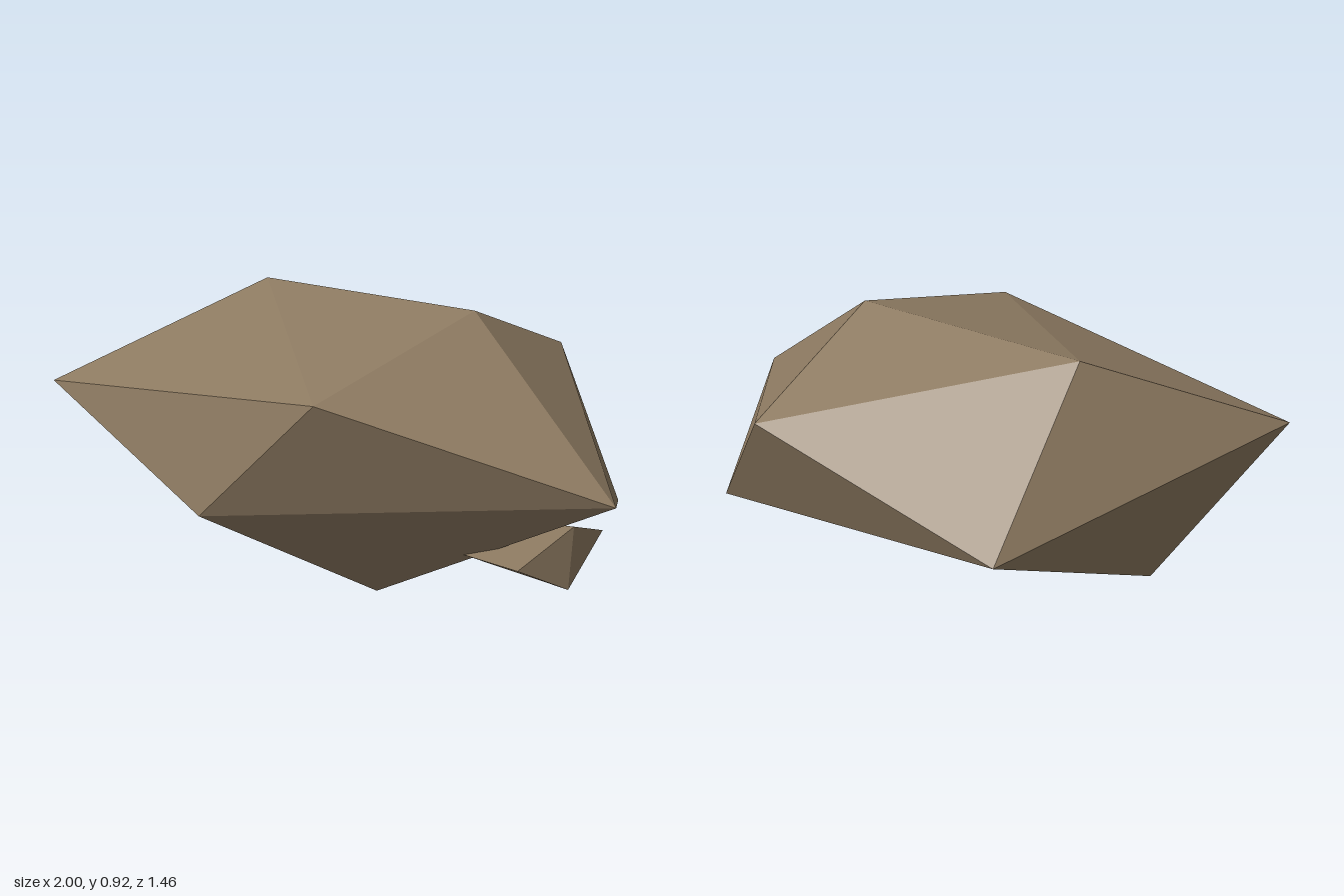
import * as THREE from 'three';
import { ConvexGeometry } from 'three/addons/geometries/ConvexGeometry.js';

// A faceted stone: the convex skin around a few corner points
function stone(name, corners, material) {
  const points = corners.map(([x, y, z]) => new THREE.Vector3(x, y, z));
  const mesh = new THREE.Mesh(new ConvexGeometry(points), material);
  mesh.name = name;
  return mesh;
}

export function createModel() {
  const group = new THREE.Group();
  group.name = 'rock';

  const stoneBrown = new THREE.MeshStandardMaterial({ color: 0x8d7a61 });
  stoneBrown.name = 'stoneBrown';

  // Large boulder
  group.add(stone('boulder', [
    // crown
    [-0.37, 0.89, -0.21], [0.45, 0.92, 0.08], [0.13, 0.775, 0.725], [0.63, 0.67, -0.48],
    // widest corners
    [-1, 0.58, 0.22], [1, 0.49, 0.53], [-0.235, 0.4, -0.73],
    // underside
    [-0.3, 0.32, 0.605], [0.91, 0.235, -0.15], [-0.61, 0.115, -0.12], [0.2, 0, 0.31],
  ], stoneBrown));

  // Small chip wedged under the left side
  group.add(stone('chip', [
    [0.73, 0.28, 0.605], [0.85, 0.338, 0.355], [0.905, 0.24, 0.13],
    [0.855, 0.16, 0.435], [0.68, 0.135, 0.28], [0.51, 0.22, 0.41],
    [0.64, 0.29, 0.25],
  ], stoneBrown));

  return group;
}
